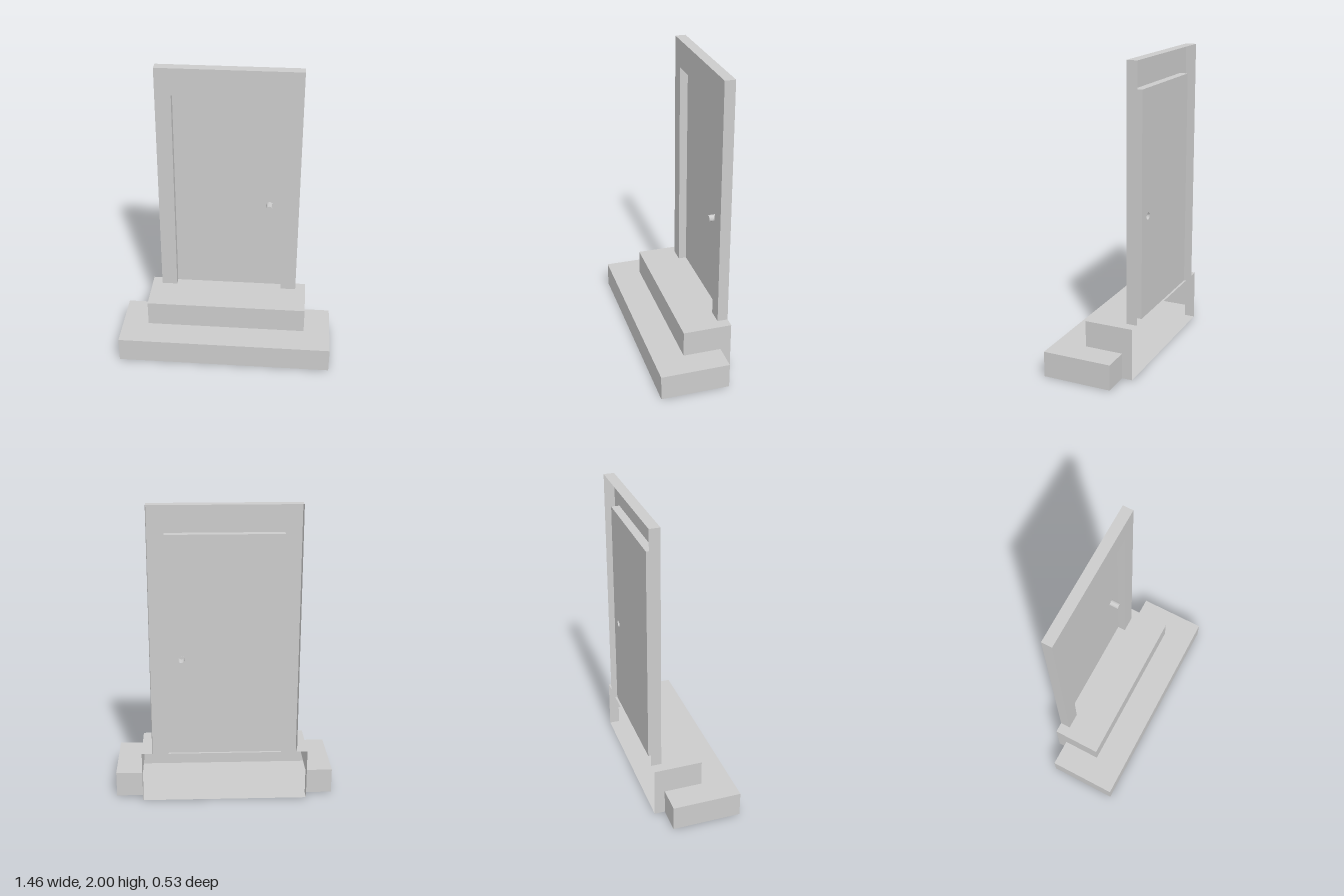
import * as THREE from 'three';

const BACK = -0.265, WALL = -0.195, DOOR = -0.25;   // depth planes
const S1 = { x: 0.73, y: 0.17, z: 0.265 };          // lower step
const S2 = { x: 0.55, y: 0.345, z: 0.06 };          // upper step
const FRAME = { x: 0.48, y: 2 };
const OPEN = { x: 0.373, y: 1.815 };                // door opening
const KNOB = { x: 0.277, y: 1.005, r: 0.023, front: -0.187 };

export function createModel() {
  const material = new THREE.MeshStandardMaterial({
    color: 0xcccccc, side: THREE.DoubleSide, flatShading: true,
  });
  const model = new THREE.Group();
  model.name = 'doorway';

  const shapeOf = (pts) => new THREE.Shape(pts.map(([a, b]) => new THREE.Vector2(a, b)));
  const rect = (a0, a1, b0, b1) => [[a0, b0], [a1, b0], [a1, b1], [a0, b1]];
  const add = (group, name, geometry) => {
    const mesh = new THREE.Mesh(geometry, material);
    mesh.name = name;
    group.add(mesh);
  };
  // Flat sheets: facing z (x, y points), facing y (x, z points), facing x (z, y points)
  const front = (g, name, pts, z, hole) => {
    const s = shapeOf(pts);
    if (hole) s.holes.push(hole);
    add(g, name, new THREE.ShapeGeometry(s, 16).translate(0, 0, z));
  };
  const level = (g, name, pts, y) =>
    add(g, name, new THREE.ShapeGeometry(shapeOf(pts)).rotateX(Math.PI / 2).translate(0, y, 0));
  const sidePair = (g, name, pts, x) => {
    for (const s of [1, -1])
      add(g, name, new THREE.ShapeGeometry(shapeOf(pts)).rotateY(-Math.PI / 2).translate(s * x, 0, 0));
  };
  const part = (name) => {
    const g = new THREE.Group();
    g.name = name;
    model.add(g);
    return g;
  };

  // Lower step: hollow, open behind and beneath the upper step
  const lower = part('lowerStep');
  front(lower, 'lowerRiser', rect(-S1.x, S1.x, 0, S1.y), S1.z);
  sidePair(lower, 'lowerEnd', rect(WALL, S1.z, 0, S1.y), S1.x);
  level(lower, 'lowerTread', [[-S1.x, WALL], [-S2.x, WALL], [-S2.x, S2.z], [S2.x, S2.z],
    [S2.x, WALL], [S1.x, WALL], [S1.x, S1.z], [-S1.x, S1.z]], S1.y);
  level(lower, 'base', [[-S1.x, WALL], [-S2.x, WALL], [-S2.x, BACK], [S2.x, BACK],
    [S2.x, WALL], [S1.x, WALL], [S1.x, S1.z], [-S1.x, S1.z]], 0);
  for (const s of [1, -1])
    front(lower, 'lowerBack', rect(s > 0 ? S2.x : -S1.x, s > 0 ? S1.x : -S2.x, 0, S1.y), WALL);

  // Upper step: hollow, open at the back, its ends reach the ground behind the lower step
  const upper = part('upperStep');
  front(upper, 'upperRiser', rect(-S2.x, S2.x, S1.y, S2.y), S2.z);
  sidePair(upper, 'upperEnd', [[BACK, 0], [WALL, 0], [WALL, S1.y], [S2.z, S1.y],
    [S2.z, S2.y], [BACK, S2.y]], S2.x);
  // Tread is notched under the hollow frame posts
  level(upper, 'upperTread', [[-S2.x, BACK], [-FRAME.x, BACK], [-FRAME.x, WALL], [-OPEN.x, WALL],
    [-OPEN.x, BACK], [OPEN.x, BACK], [OPEN.x, WALL], [FRAME.x, WALL], [FRAME.x, BACK],
    [S2.x, BACK], [S2.x, S2.z], [-S2.x, S2.z]], S2.y);

  // Door frame: hollow shell, open at the back
  const frame = part('doorFrame');
  front(frame, 'frameFace', [[-FRAME.x, S2.y], [-OPEN.x, S2.y], [-OPEN.x, OPEN.y], [OPEN.x, OPEN.y],
    [OPEN.x, S2.y], [FRAME.x, S2.y], [FRAME.x, FRAME.y], [-FRAME.x, FRAME.y]], WALL);
  sidePair(frame, 'frameSide', rect(BACK, WALL, S2.y, FRAME.y), FRAME.x);
  level(frame, 'frameTop', rect(-FRAME.x, FRAME.x, BACK, WALL), FRAME.y);
  sidePair(frame, 'jamb', rect(DOOR, WALL, S2.y, OPEN.y), OPEN.x);
  level(frame, 'head', rect(-OPEN.x, OPEN.x, DOOR, WALL), OPEN.y);

  // Recessed door with a hollow round knob
  const door = part('door');
  const hole = new THREE.Path().absarc(KNOB.x, KNOB.y, KNOB.r, 0, Math.PI * 2, true);
  front(door, 'doorPanel', rect(-OPEN.x, OPEN.x, S2.y, OPEN.y), DOOR, hole);
  const length = KNOB.front - DOOR;
  add(door, 'knobStem', new THREE.CylinderGeometry(KNOB.r, KNOB.r, length, 16, 1, true)
    .rotateX(Math.PI / 2).translate(KNOB.x, KNOB.y, DOOR + length / 2));
  add(door, 'knobFace', new THREE.CircleGeometry(KNOB.r, 16).translate(KNOB.x, KNOB.y, KNOB.front));

  return model;
}
